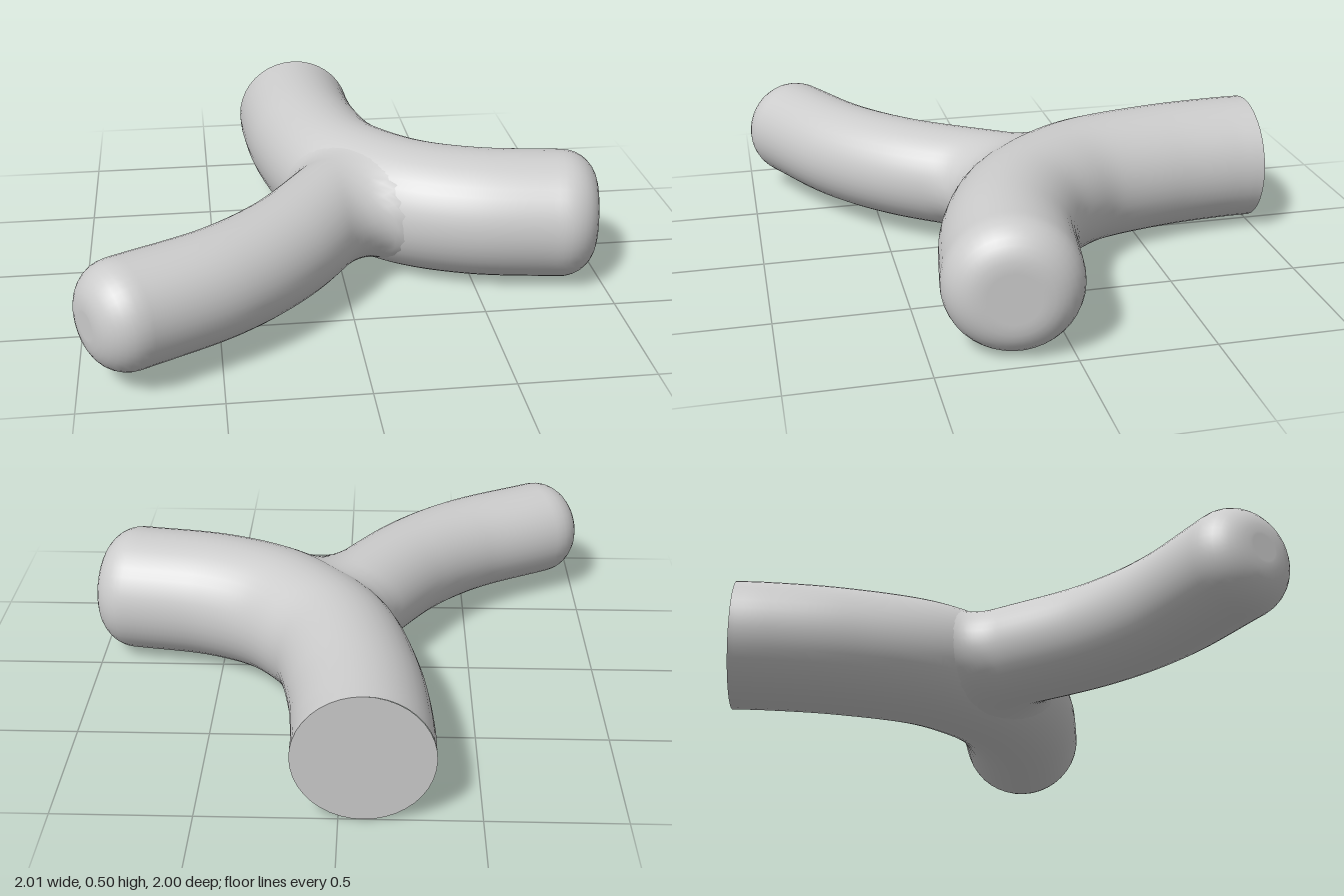
import * as THREE from 'three';

const SIDES = 40;
const UP = new THREE.Vector3(0, 1, 0);
const material = new THREE.MeshStandardMaterial({ color: 0xcccccc });

const planarCurve = (points, y) =>
  new THREE.CatmullRomCurve3(points.map(([x, z]) => new THREE.Vector3(x, y, z)), false, 'centripetal');

// Pipe swept along a level curve, closed at the far end by a rounded cap.
// radiusAt(centre, outward, t) may reshape the wall.
function roundedPipe(curve, radius, fillet, steps, radiusAt = () => radius) {
  const rings = [];
  for (let i = 0; i <= steps; i++) {
    const t = i / steps;
    rings.push({ c: curve.getPointAt(t), d: curve.getTangentAt(t), t });
  }
  const { c: end, d: endDir } = rings[steps];
  for (let i = 1; i <= 8; i++) {
    const a = (i / 8) * Math.PI / 2;
    const c = end.clone().addScaledVector(endDir, fillet * Math.sin(a));
    rings.push({ c, d: endDir, r: radius - fillet * (1 - Math.cos(a)) });
  }
  const tip = rings[rings.length - 1];
  rings.push({ ...tip, r: tip.r * 0.85 }, { ...tip, r: 0 });

  const positions = [], index = [];
  rings.forEach(({ c, d, t, r }, i) => {
    const side = new THREE.Vector3().crossVectors(d, UP).normalize();
    for (let j = 0; j < SIDES; j++) {
      const a = (j / SIDES) * Math.PI * 2;
      const out = side.clone().multiplyScalar(Math.cos(a)).addScaledVector(UP, Math.sin(a));
      const p = c.clone().addScaledVector(out, r ?? radiusAt(c, out, t));
      positions.push(p.x, p.y, p.z);
      if (i < rings.length - 1) {
        const k = (j + 1) % SIDES, lo = i * SIDES, hi = lo + SIDES;
        index.push(lo + j, hi + j, lo + k, hi + j, hi + k, lo + k);
      }
    }
  });
  const geometry = new THREE.BufferGeometry();
  geometry.setAttribute('position', new THREE.Float32BufferAttribute(positions, 3));
  geometry.setIndex(index);
  geometry.computeVertexNormals();
  return geometry;
}

export function createModel() {
  const group = new THREE.Group();
  const add = (name, geometry) => {
    const mesh = new THREE.Mesh(geometry, material);
    mesh.name = name;
    group.add(mesh);
    return mesh;
  };

  // Thick bent pipe
  const R = 0.25, r = 0.2;
  const mainCurve = planarCurve([[-0.085, -1], [-0.083, -0.88], [-0.055, -0.6], [0.03, -0.27],
    [0.143, -0.1], [0.29, 0.035], [0.52, 0.137], [0.85, 0.197]], R);
  add('mainPipe', roundedPipe(mainCurve, R, 0.14, 64));

  // Flat cut at the back
  const cut = add('cutEnd', new THREE.CircleGeometry(R, SIDES));
  cut.rotation.y = Math.PI;
  cut.position.set(-0.085, R, -1);

  // Thinner branch: its root grows outward into a fillet against the main pipe
  const spine = mainCurve.getSpacedPoints(200);
  const blendedRadius = (c, out, t) => {
    if (t > 0.6) return r;
    let radius = r;
    for (let n = 0; n < 30 && radius < 0.34; n++) {
      const p = c.clone().addScaledVector(out, radius);
      let near = spine[0];
      for (const s of spine) if (s.distanceToSquared(p) < near.distanceToSquared(p)) near = s;
      const normal = p.clone().sub(near);
      const a = normal.length() - (R - 0.004), b = radius - r;
      // Blend only where the two surfaces face different ways
      const k = 0.2 * (1 - normal.normalize().dot(out)) + 1e-4;
      const h = Math.max(k - Math.abs(a - b), 0) / k;
      const gap = Math.min(a, b) - h * h * k / 4;
      if (gap > -0.0005) break;
      radius -= gap * 0.7;
    }
    return Math.min(radius, 0.34);
  };
  const branchCurve = planarCurve([[0.08, -0.1], [-0.03, 0.07], [-0.26, 0.4], [-0.49, 0.61], [-0.83, 0.8]], 0.255);
  add('branchPipe', roundedPipe(branchCurve, r, 0.14, 72, blendedRadius));

  return group;
}
